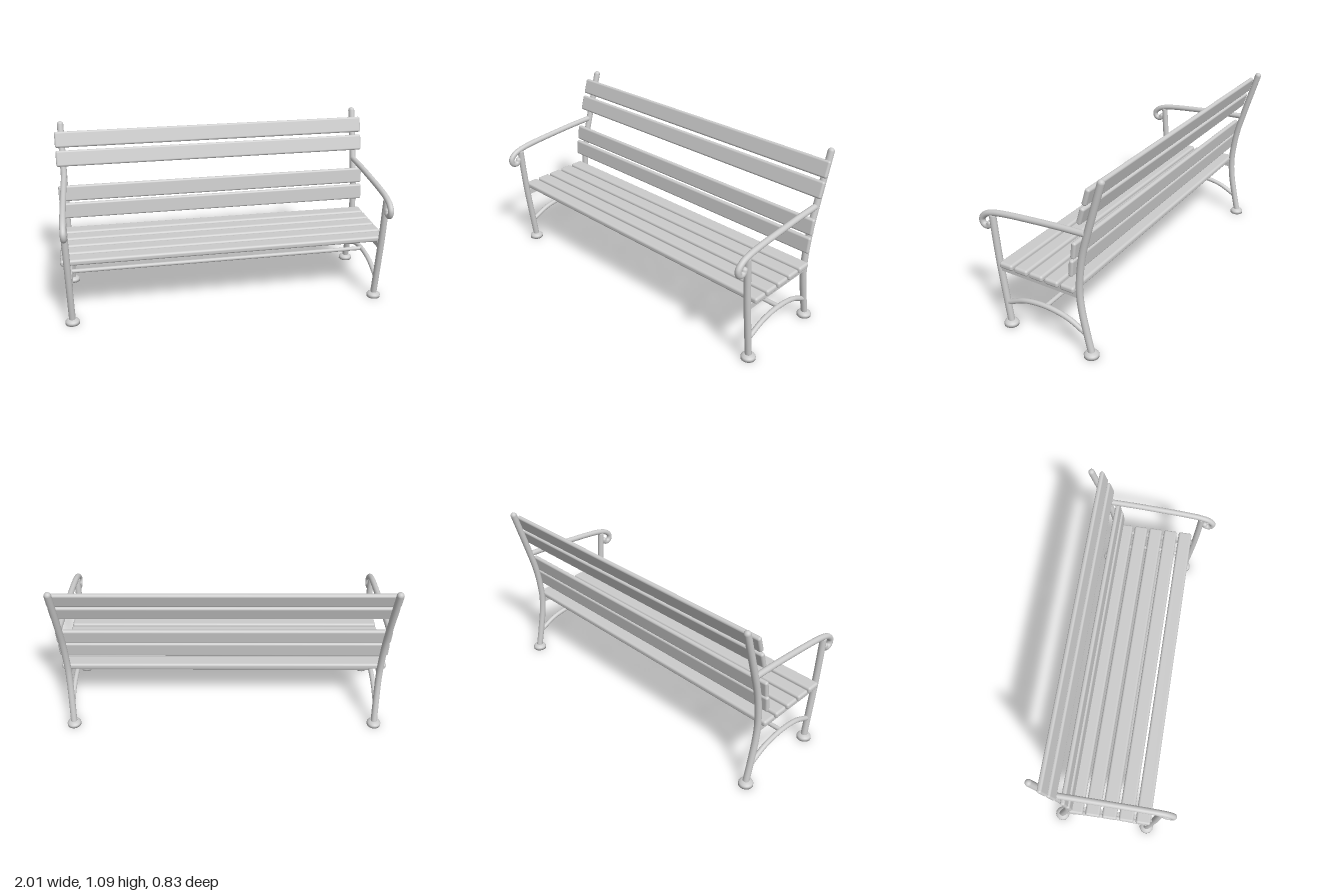
import * as THREE from 'three';
import { RoundedBoxGeometry } from 'three/addons/geometries/RoundedBoxGeometry.js';

export function createModel() {
  const bench = new THREE.Group();
  bench.name = 'bench';
  const grey = new THREE.MeshStandardMaterial({ color: 0xcccccc });
  grey.name = 'light grey';

  const add = (parent, name, geometry, x = 0, y = 0, z = 0) => {
    const mesh = new THREE.Mesh(geometry, grey);
    mesh.name = name;
    mesh.position.set(x, y, z);
    parent.add(mesh);
    return mesh;
  };

  // Round bar through [z, y] points, with domed ends
  const bar = (parent, name, points, radius, segments = 32) => {
    const group = new THREE.Group();
    group.name = name;
    parent.add(group);
    const path = points.map(([z, y]) => new THREE.Vector3(0, y, z));
    const curve = new THREE.CatmullRomCurve3(path);
    add(group, name + 'Bar', new THREE.TubeGeometry(curve, segments, radius, 16));
    for (const p of [path[0], path[path.length - 1]]) {
      add(group, name + 'End', new THREE.SphereGeometry(radius, 16, 10), 0, p.y, p.z);
    }
  };

  const footProfile = [[0, 0], [0.043, 0], [0.043, 0.014], [0.039, 0.021], [0.024, 0.032], [0, 0.032]]
    .map(([r, y]) => new THREE.Vector2(r, y));

  // Side frames
  for (const side of [1, -1]) {
    const frame = new THREE.Group();
    frame.name = side > 0 ? 'leftFrame' : 'rightFrame';
    frame.position.x = side * 0.96;
    bench.add(frame);

    bar(frame, 'backLeg', [[-0.305, 0.025], [-0.277, 0.15], [-0.25, 0.29], [-0.241, 0.4],
      [-0.25, 0.52], [-0.27, 0.64], [-0.305, 0.77], [-0.392, 1.066]], 0.02, 48);
    bar(frame, 'frontLeg', [[0.25, 0.025], [0.272, 0.2], [0.296, 0.4], [0.309, 0.55], [0.319, 0.69]], 0.02);
    bar(frame, 'armrest', [[-0.283, 0.757], [-0.13, 0.751], [0.02, 0.741], [0.22, 0.724], [0.31, 0.71],
      [0.365, 0.69], [0.396, 0.656], [0.389, 0.625], [0.365, 0.615], [0.346, 0.626], [0.343, 0.637]], 0.018, 80);
    bar(frame, 'archedBrace', [[0.245, 0.155], [0.134, 0.201], [-0.01, 0.217], [-0.154, 0.195], [-0.263, 0.143]], 0.015);
    add(frame, 'seatRail', new THREE.BoxGeometry(0.026, 0.035, 0.52), 0, 0.378, 0.026);
    for (const z of [0.25, -0.305]) add(frame, 'foot', new THREE.LatheGeometry(footProfile, 24), 0, 0, z);
  }

  // Seat slats
  for (let i = 0; i < 5; i++) {
    add(bench, 'seatSlat', new RoundedBoxGeometry(2, 0.037, 0.089, 4, 0.014), 0, 0.4135, 0.226 - i * 0.1025);
  }

  // Backrest slats: y, z, lean
  for (const [y, z, lean] of [[0.549, -0.215, 0.1], [0.659, -0.234, 0.13], [0.873, -0.287, 0.29], [0.986, -0.323, 0.29]]) {
    add(bench, 'backSlat', new RoundedBoxGeometry(2, 0.1, 0.028, 4, 0.012), 0, y, z).rotation.x = -lean;
  }

  // Long bar joining the two braces
  const stretcher = new THREE.CylinderGeometry(0.013, 0.013, 1.92, 16).rotateZ(Math.PI / 2);
  add(bench, 'longStretcher', stretcher, 0, 0.219, -0.01);

  return bench;
}
